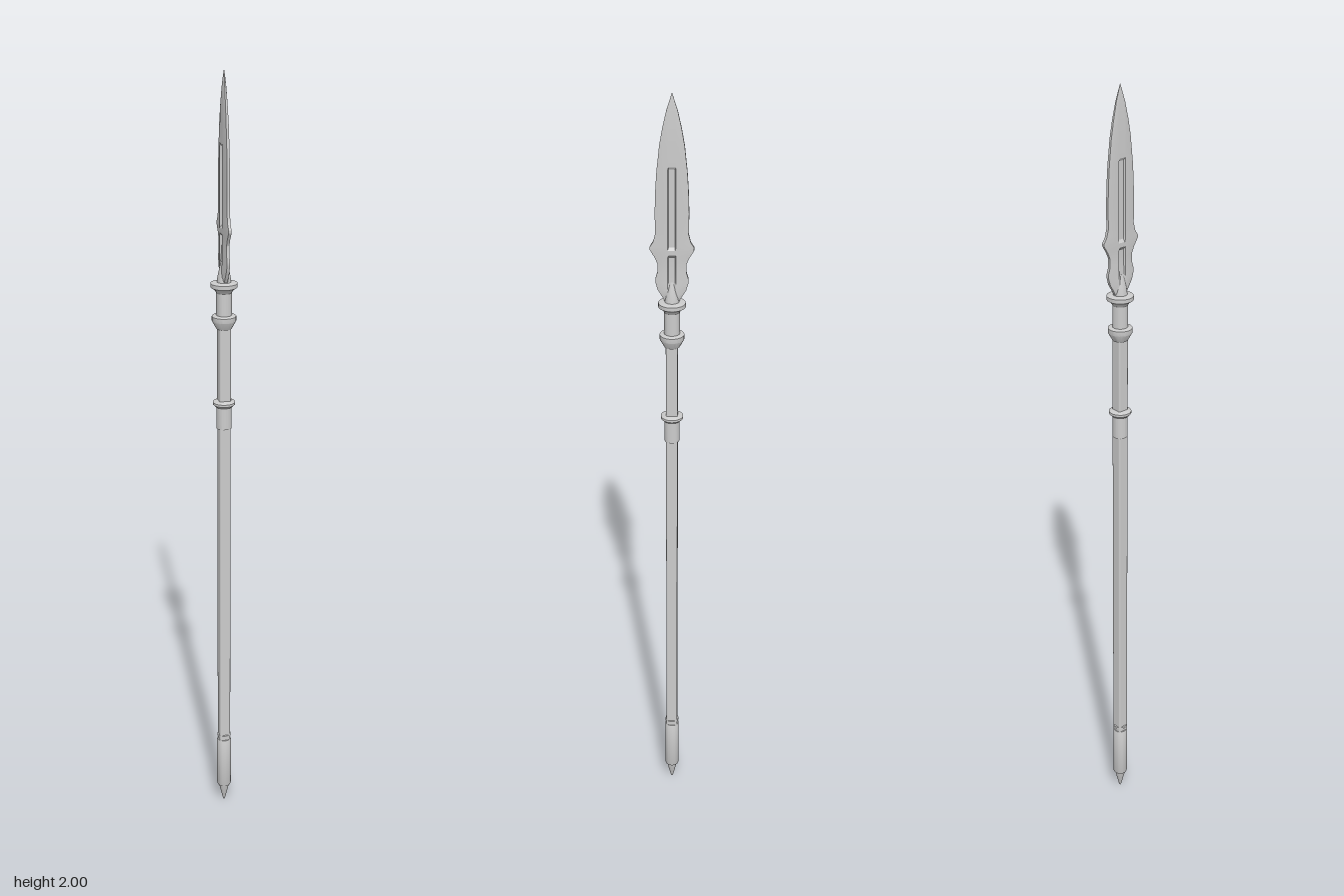
import * as THREE from 'three';
import { toCreasedNormals } from 'three/addons/utils/BufferGeometryUtils.js';
import { RoundedBoxGeometry } from 'three/addons/geometries/RoundedBoxGeometry.js';

const material = new THREE.MeshStandardMaterial({ color: 0xcccccc });

function part(name, geometry) {
  const mesh = new THREE.Mesh(geometry, material);
  mesh.name = name;
  return mesh;
}

// Round part turned from a list of [radius, height], bottom to top
function turned(name, profile) {
  const points = profile.map(([r, y]) => new THREE.Vector2(r, y));
  return part(name, toCreasedNormals(new THREE.LatheGeometry(points, 24), 0.5));
}

// Square pole with softened corners
function pole(name, bottom, top) {
  const geometry = new RoundedBoxGeometry(0.029, top - bottom, 0.029, 3, 0.004);
  geometry.translate(0, (bottom + top) / 2, 0);
  return part(name, geometry);
}

// Leaf blade: cross-sections [height, half width, half thickness, groove depth 0..1]
function blade() {
  const rows = [
    [1.495, 0.014, 0.009, 0], [1.51, 0.022, 0.009, 0], [1.53, 0.034, 0.009, 0],
    [1.548, 0.039, 0.008, 0.2], [1.558, 0.039, 0.008, 0.3], [1.575, 0.034, 0.008, 0.5],
    [1.595, 0.034, 0.008, 0.6], [1.612, 0.041, 0.008, 0.6], [1.618, 0.045, 0.008, 0],
    [1.63, 0.052, 0.008, 0], [1.637, 0.052, 0.008, 0.6], [1.65, 0.044, 0.008, 0.6],
    [1.67, 0.039, 0.008, 0.6], [1.72, 0.04, 0.008, 0.6], [1.78, 0.038, 0.0078, 0.6],
    [1.825, 0.035, 0.0075, 0.6], [1.832, 0.034, 0.0075, 0], [1.88, 0.029, 0.007, 0],
    [1.92, 0.022, 0.006, 0], [1.96, 0.013, 0.004, 0], [1.985, 0.005, 0.002, 0], [2, 0.0004, 0.0003, 0],
  ];
  const positions = [], index = [];
  for (const [y, w, t, groove] of rows) {
    const rim = Math.min(0.01, w * 0.5), floor = rim * 0.75, deep = t * (1 - groove), edge = t * 0.45;
    const side = [[edge, w], [t, rim], [deep, floor], [deep, -floor], [t, -rim], [edge, -w]];
    for (const s of [1, -1]) for (const [x, z] of side) positions.push(s * x, y, s * z);
  }
  const n = 12;
  for (let r = 0; r < rows.length - 1; r++) {
    for (let i = 0; i < n; i++) {
      const a = r * n + i, b = r * n + (i + 1) % n;
      index.push(a, b, b + n, a, b + n, a + n);
    }
  }
  const geometry = new THREE.BufferGeometry();
  geometry.setAttribute('position', new THREE.Float32BufferAttribute(positions, 3));
  geometry.setIndex(index);
  return part('blade', toCreasedNormals(geometry, 0.35));
}

export function createModel() {
  const group = new THREE.Group();
  group.name = 'spear';
  group.add(
    turned('buttSpike', [[0.0005, 0], [0.004, 0.008], [0.0145, 0.053], [0, 0.055]]),
    turned('buttCap', [[0, 0.054], [0.018, 0.054], [0.019, 0.057], [0.019, 0.199], [0.018, 0.202], [0, 0.202]]),
    turned('buttRing', [[0.013, 0.209], [0.018, 0.211], [0.018, 0.217], [0.013, 0.219]]),
    pole('shaft', 0.19, 1.4),
    turned('gripSleeve', [[0.014, 1.119], [0.019, 1.12], [0.019, 1.178], [0.014, 1.18]]),
    turned('gripRing', [[0.014, 1.176], [0.022, 1.178], [0.028, 1.184], [0.028, 1.19], [0.02, 1.194], [0.014, 1.195]]),
    turned('lowerCollar', [[0.014, 1.38], [0.019, 1.381], [0.03, 1.401], [0.03, 1.413], [0.018, 1.416]]),
    turned('neck', [[0.019, 1.41], [0.019, 1.48]]),
    turned('upperCollar', [[0.019, 1.472], [0.024, 1.48], [0.033, 1.486], [0.033, 1.496], [0.02, 1.499], [0, 1.499]]),
    turned('bladeSocket', [[0.018, 1.495], [0.016, 1.512], [0.011, 1.535], [0.007, 1.55], [0, 1.553]]),
    blade(),
  );
  return group;
}
